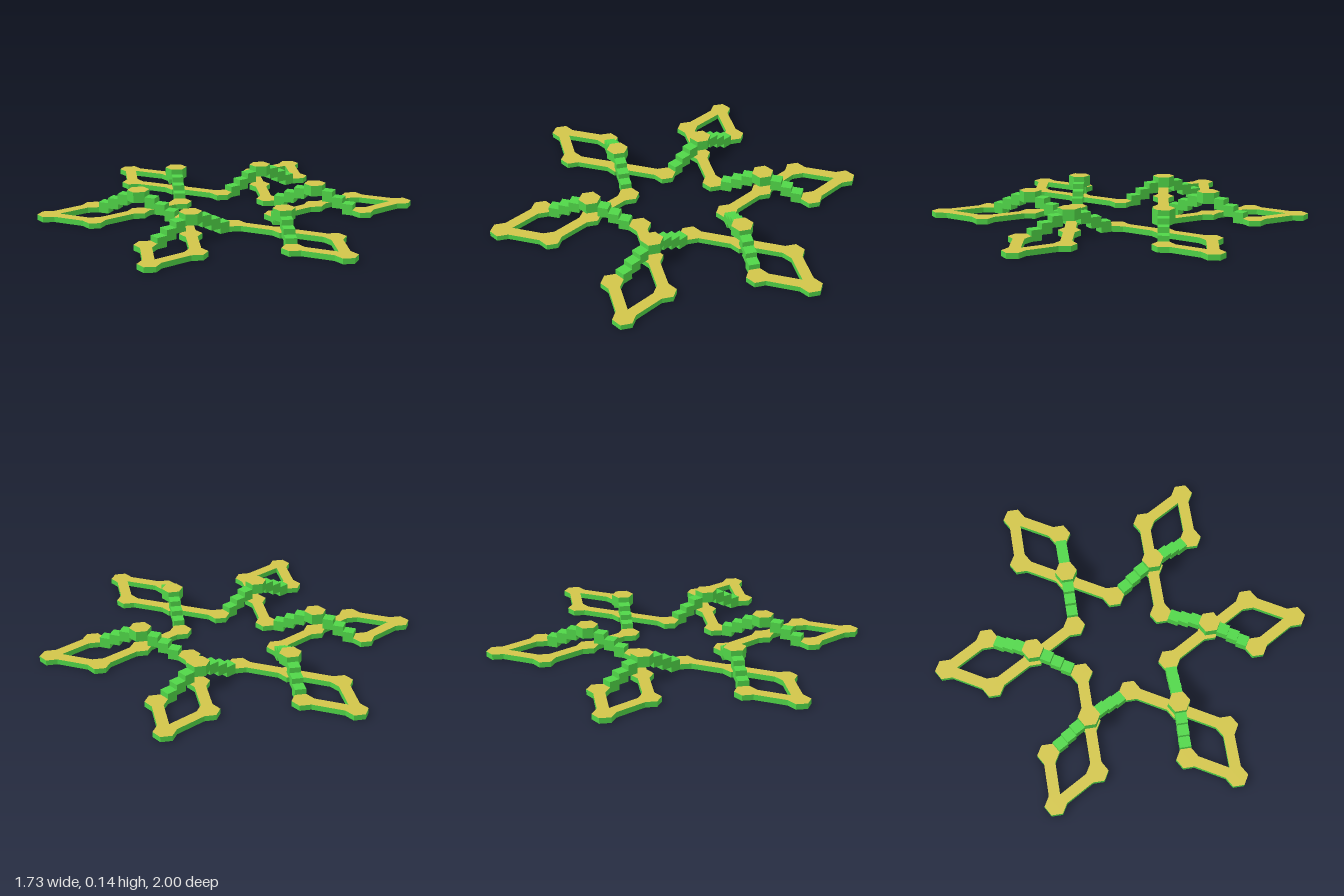
import * as THREE from 'three';

const S = 2 / (4 * Math.sqrt(3) / 2 + 0.42) * 0.5278; // spacing of the triangular lattice
const H = S * Math.sqrt(3) / 2;                        // row height of the lattice
const R = 1 - 4 * H;                                   // hexagon corner radius, also the bar width
const A = R * Math.sqrt(3) / 2;                        // hexagon centre to flat side
const T = 0.029;                                       // layer thickness

const green = new THREE.MeshStandardMaterial({ color: 0x50d648, flatShading: true });
const yellow = new THREE.MeshStandardMaterial({ color: 0xd2c54a, flatShading: true });
const barMaterials = [green, green, yellow, yellow, green, green];

// Hexagonal node standing on height y
function hexNode(name, [x, z], y = 0, height = T) {
  const mesh = new THREE.Mesh(new THREE.CylinderGeometry(R, R, height, 6), [green, yellow, yellow]);
  mesh.name = name;
  mesh.position.set(x, y + height / 2, z);
  return mesh;
}

// Box covering the stretch from distance d0 to d1 on the way from a to b
function link(name, a, b, d0, d1, y, height, material) {
  const dx = b[0] - a[0], dz = b[1] - a[1], len = Math.hypot(dx, dz), t = (d0 + d1) / 2 / len;
  const mesh = new THREE.Mesh(new THREE.BoxGeometry(d1 - d0, height, R), material);
  mesh.name = name;
  mesh.position.set(a[0] + dx * t, y + height / 2, a[1] + dz * t);
  mesh.rotation.y = Math.atan2(-dz, dx);
  return mesh;
}

const flatBar = (a, b) => link('flatBar', a, b, A, S - A, 0, T, barMaterials);

// Three overlapping steps climbing from a ground node to the raised node
function stairs(low, high) {
  const group = new THREE.Group();
  group.name = 'stairs';
  const run = (S - 2 * A) / 3;
  for (let i = 0; i < 3; i++) {
    group.add(link('step', low, high, A + i * run, A + (i + 1) * run, i * T, 2 * T, green));
  }
  return group;
}

// One sixth of the woven snowflake
function createArm() {
  const arm = new THREE.Group();
  arm.name = 'arm';
  const crossing = [0, -2 * H], tip = [0, -4 * H];
  const left = [S / 2, -3 * H], right = [-S / 2, -3 * H];
  const innerLeft = [S / 2, -H], innerRight = [-S / 2, -H];
  arm.add(
    hexNode('tipNode', tip), hexNode('sideNode', left), hexNode('sideNode', right),
    hexNode('innerNode', innerRight), hexNode('crossingNode', crossing),
    hexNode('bridgeTop', crossing, 3 * T, 2 * T),
    flatBar(tip, left), flatBar(tip, right),
    flatBar(crossing, right), flatBar(crossing, innerLeft),
    stairs(left, crossing), stairs(innerRight, crossing)
  );
  return arm;
}

export function createModel() {
  const model = new THREE.Group();
  model.name = 'wovenSnowflake';
  for (let i = 0; i < 6; i++) {
    const arm = createArm();
    arm.rotation.y = i * Math.PI / 3;
    model.add(arm);
  }
  return model;
}
